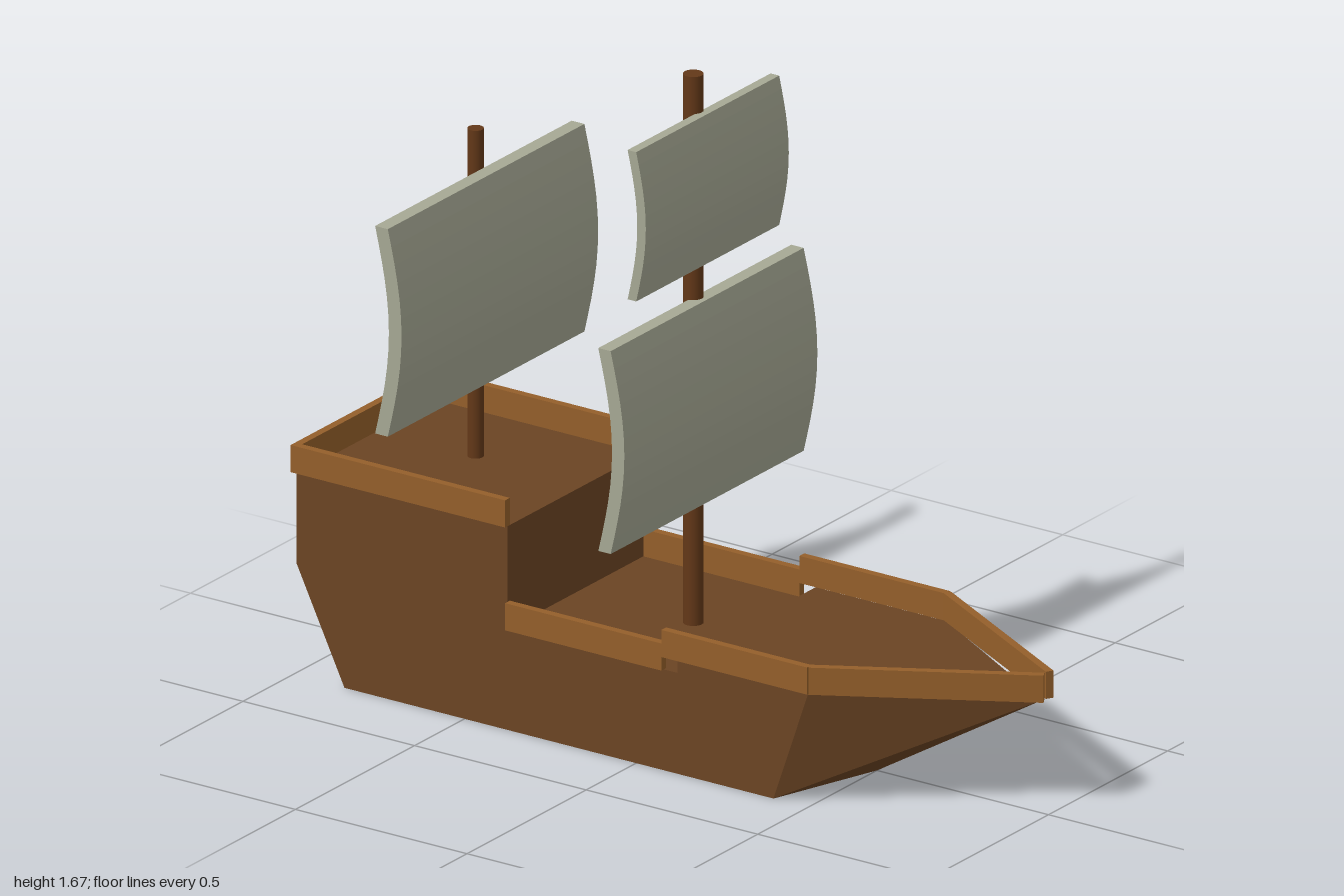
import * as THREE from 'three';
import { ConvexGeometry } from 'three/addons/geometries/ConvexGeometry.js';

const material = (color) => new THREE.MeshStandardMaterial({ color });

export function createModel() {
  const ship = new THREE.Group();
  const hullMat = material(0x6b4423);
  const railMat = material(0x945f2a);
  const mastMat = material(0x633818);
  const sailMat = material(0xa6a894);

  const add = (name, geometry, mat, x = 0, y = 0, z = 0) => {
    const mesh = new THREE.Mesh(geometry, mat);
    mesh.name = name;
    mesh.position.set(x, y, z);
    ship.add(mesh);
    return mesh;
  };
  // Solid outline in the x-y plane, extruded across the beam and centred on z
  const slab = (points, width, options = {}) => {
    const shape = new THREE.Shape(points.map(([x, y]) => new THREE.Vector2(x, y)));
    return new THREE.ExtrudeGeometry(shape, { depth: width, bevelEnabled: false, ...options })
      .translate(0, 0, -width / 2);
  };
  const convex = (points) => new ConvexGeometry(points.map((p) => new THREE.Vector3(...p)));

  // Hull: raised quarterdeck, waist and foredeck
  const w = 0.29;
  add('hull', slab([
    [-0.99, 0.29], [-0.85, 0], [0.4, 0], [0.5, 0.29], [0.12, 0.29],
    [0.12, 0.26], [-0.375, 0.26], [-0.375, 0.525], [-0.99, 0.525],
  ], 2 * w), hullMat);

  // Pointed bow and the tapered underside of the stern
  add('bow', convex([
    [0.5, 0.29, w], [0.5, 0.29, -w], [0.4, 0, w], [0.4, 0, -w], [0.98, 0.29, 0], [0.5, 0, 0],
  ]), hullMat);
  add('sternKeel', convex([
    [-0.99, 0.29, w], [-0.99, 0.29, -w], [-0.85, 0, w], [-0.85, 0, -w], [-0.99, 0, 0],
  ]), hullMat);

  // Rails on both sides
  const railH = 0.07, railT = 0.02;
  const sideRails = [
    ['quarterdeckRail', -1, -0.375, 0.56],
    ['waistRail', -0.375, 0.08, 0.295],
    ['foredeckRail', 0.08, 0.505, 0.33],
  ];
  for (const side of [1, -1]) {
    for (const [name, x0, x1, y] of sideRails) {
      add(name, new THREE.BoxGeometry(x1 - x0, railH, railT), railMat, (x0 + x1) / 2, y, side * w);
    }
    // Angled bow rail
    const dx = 0.492, dz = -0.278;
    const bowRail = add('bowRail', new THREE.BoxGeometry(Math.hypot(dx, dz), railH, railT),
      railMat, 0.503 + dx / 2, 0.33, side * (w + dz / 2));
    bowRail.rotation.y = -side * Math.atan2(dz, dx);
  }
  add('sternRail', new THREE.BoxGeometry(railT, railH, 0.6), railMat, -0.99, 0.56, 0);

  // Masts
  const mast = (name, x, z, r, y0, y1) =>
    add(name, new THREE.CylinderGeometry(r, r, y1 - y0, 20), mastMat, x, (y0 + y1) / 2, z);
  mast('mainMast', -0.035, 0, 0.025, 0.26, 1.675);
  mast('mizzenMast', -0.697, -0.04, 0.02, 0.525, 1.37);

  // Billowing sails: x is the rear edge at top and bottom
  const sail = (name, x, y0, y1, width, thick, bulge, z) => {
    const n = 12, rear = [], front = [];
    for (let i = 0; i <= n; i++) {
      const t = i / n, y = y0 + (y1 - y0) * t;
      const b = x + bulge * Math.sin(Math.PI * t);
      rear.push([b, y]);
      front.push([b + thick, y]);
    }
    add(name, slab([...front, ...rear.reverse()], width), sailMat, 0, 0, z);
  };
  sail('mainSail', -0.032, 0.577, 1.1, 0.81, 0.036, 0.04, -0.002);
  sail('topSail', -0.018, 1.195, 1.58, 0.6, 0.025, 0.028, 0);
  sail('mizzenSail', -0.677, 0.735, 1.27, 0.825, 0.037, 0.04, -0.002);

  return ship;
}
